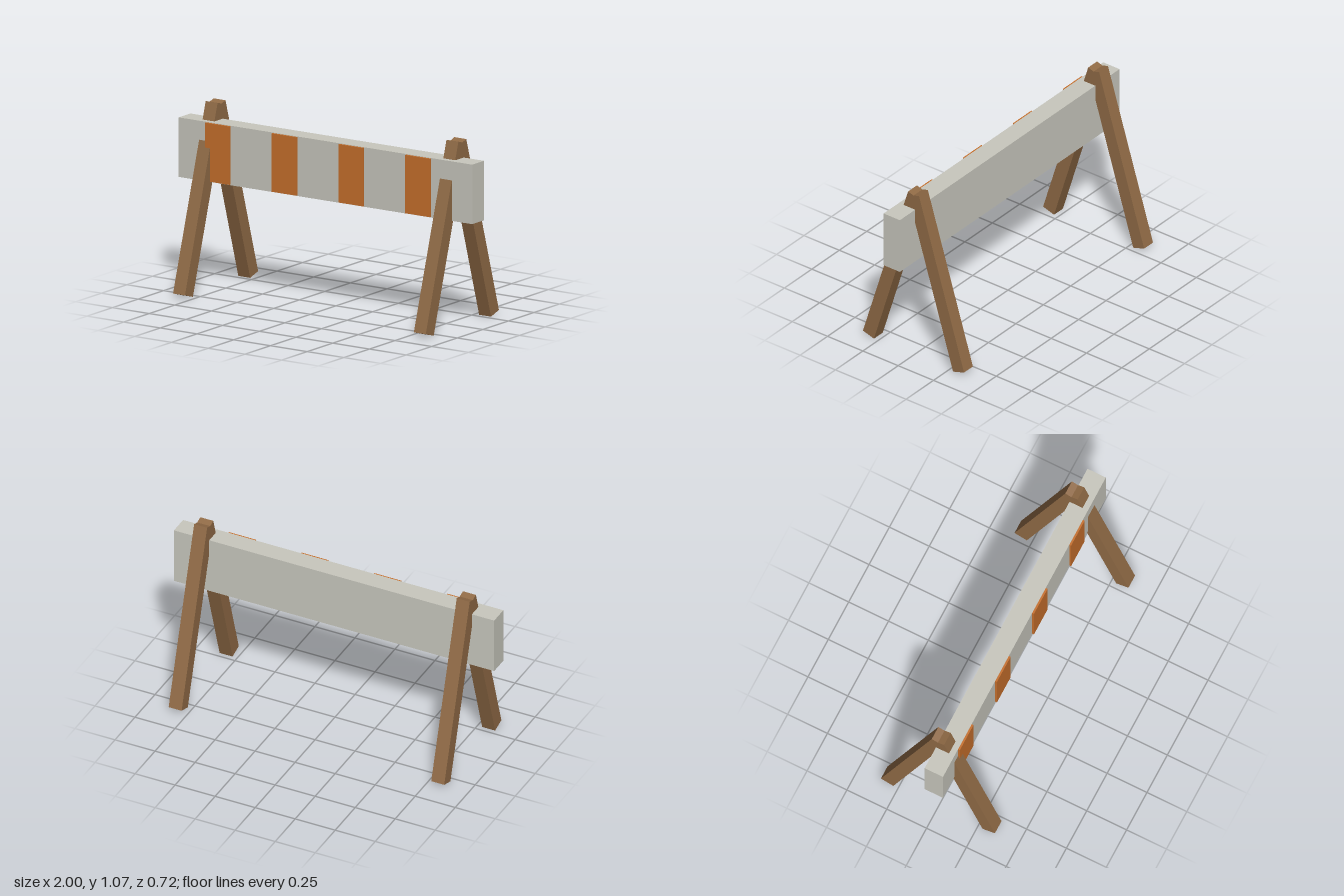
import * as THREE from 'three';

export function createModel() {
  const wood = new THREE.MeshStandardMaterial({ name: 'wood', color: 0x916b46 });
  const board = new THREE.MeshStandardMaterial({ name: 'paleBoard', color: 0xc9c8be });
  const orange = new THREE.MeshStandardMaterial({ name: 'orange', color: 0xc8702c });

  const model = new THREE.Group();
  model.name = 'barricade';

  // Box given by its minimum and maximum corners
  function addBox(name, material, min, max) {
    const size = max.map((v, i) => v - min[i]);
    const mesh = new THREE.Mesh(new THREE.BoxGeometry(...size), material);
    mesh.position.set(...max.map((v, i) => (v + min[i]) / 2));
    mesh.name = name;
    model.add(mesh);
  }

  // Crossboard, set slightly forward of the legs' apex
  addBox('crossboard', board, [-1, 0.625, -0.012], [1, 0.967, 0.103]);

  // Four raised orange panels on the front of the board
  for (let i = 0; i < 4; i++) {
    const x = -0.73 + i * 0.455;
    addBox('stripe', orange, [x - 0.084, 0.629, 0.1], [x + 0.084, 0.964, 0.114]);
  }

  // A-frame legs: each pair meets at the apex above the board
  const footZ = 0.319, footY = 0.012, apexY = 1.056;
  const length = Math.hypot(footZ, apexY - footY);
  const lean = Math.atan2(footZ, apexY - footY);
  const legGeometry = new THREE.BoxGeometry(0.081, length, 0.081);
  for (const side of [1, -1]) {
    const frame = new THREE.Group();
    frame.name = side > 0 ? 'leftFrame' : 'rightFrame';
    for (const end of [1, -1]) {
      const leg = new THREE.Mesh(legGeometry, wood);
      leg.name = end > 0 ? 'frontLeg' : 'backLeg';
      leg.position.set(side * 0.82, (footY + apexY) / 2, end * footZ / 2);
      leg.rotation.x = -end * lean;
      frame.add(leg);
    }
    model.add(frame);
  }

  return model;
}
